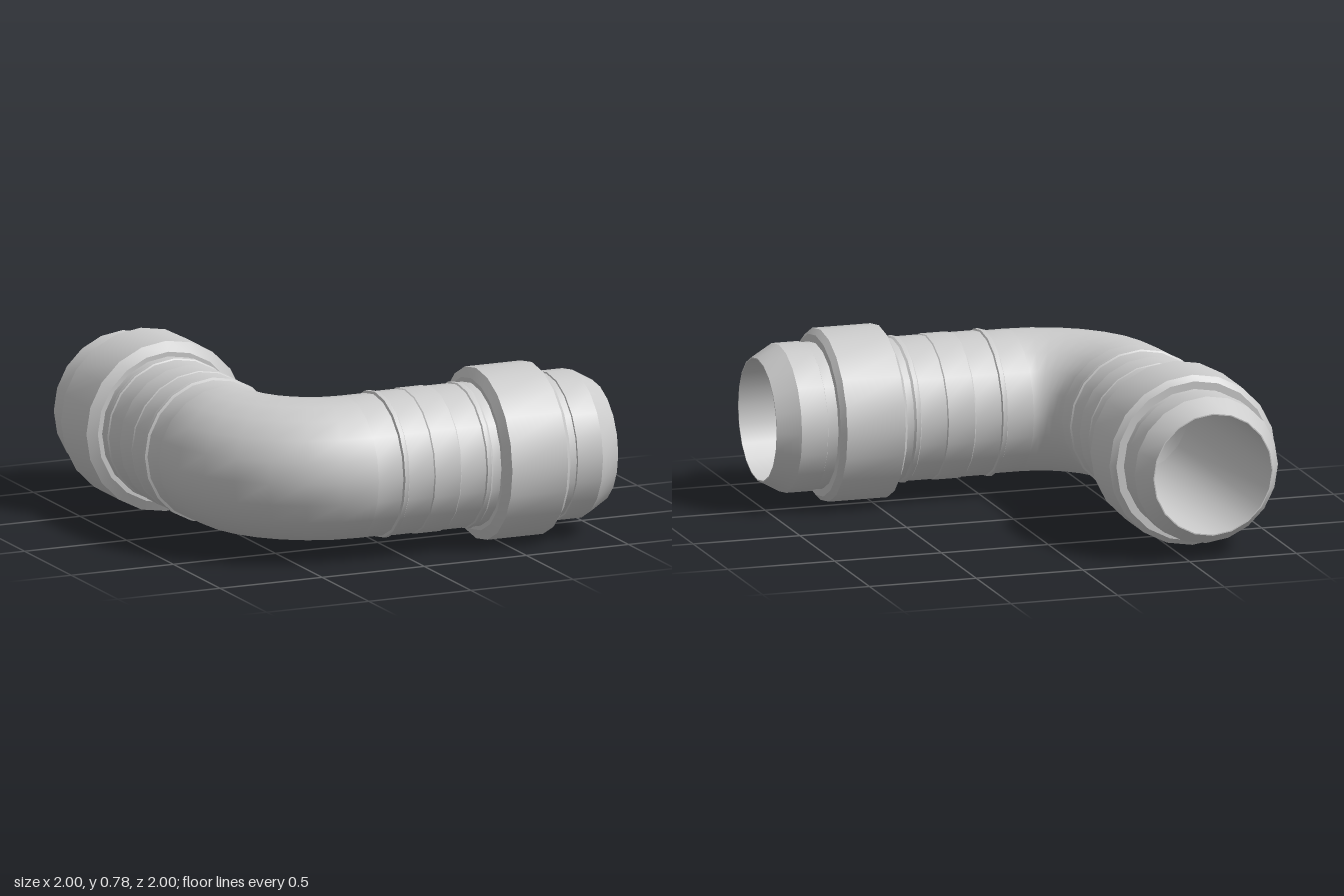
import * as THREE from 'three';
import { toCreasedNormals } from 'three/addons/utils/BufferGeometryUtils.js';

const SIDES = 20;
const AXIS_Y = 0.39;  // height of the pipe axis
const OFFSET = 0.61;  // distance of each arm's axis from the centre
const BEND_AT = -0.19; // where the bend meets the straight arms
const BEND_R = OFFSET + BEND_AT;
const PIPE_R = 0.32;
const BORE_R = 0.275;

// Each profile lists [radius, distance along the arm]
const PROFILES = {
  Sleeve: [
    [PIPE_R, BEND_AT], [PIPE_R, -0.07],
    [0.331, -0.065], [0.331, -0.045], [0.324, -0.04], // bead at the bend
    [0.324, 0.08], [0.328, 0.085], [0.328, 0.21], [0.324, 0.215], // raised band
    [0.324, 0.335], [0.33, 0.34], [0.33, 0.36], [0.324, 0.37], // bead at the collar
    [0.324, 0.42],
  ],
  Collar: [
    [0.322, 0.408], [0.345, 0.408], [0.39, 0.432],
    [0.39, 0.705], [0.365, 0.728], [0.325, 0.728],
  ],
  Tip: [
    [0.33, 0.72], [0.33, 0.775], [0.336, 0.778], [0.336, 0.9],
    [0.28, 1], [BORE_R, 1], [BORE_R, BEND_AT], // chamfered lip and bore
  ],
};

function turned(profile) {
  const points = profile.map(([r, s]) => new THREE.Vector2(r, s));
  return toCreasedNormals(new THREE.LatheGeometry(points, SIDES), 0.42);
}

// Quarter bend joining the two arms
function bend(radius) {
  return new THREE.TorusGeometry(BEND_R, radius, SIDES, 7, Math.PI / 2)
    .rotateZ(Math.PI / 2)
    .rotateX(Math.PI / 2)
    .translate(BEND_AT, AXIS_Y, -BEND_AT);
}

export function createModel() {
  const model = new THREE.Group();
  model.name = 'pipeElbow';
  const grey = new THREE.MeshStandardMaterial({ color: 0xcccccc });
  const thin = new THREE.MeshStandardMaterial({ color: 0xcccccc, side: THREE.DoubleSide });

  function add(parent, name, geometry, material) {
    const mesh = new THREE.Mesh(geometry, material);
    mesh.name = name;
    parent.add(mesh);
  }

  add(model, 'bendOuter', bend(PIPE_R), grey);
  add(model, 'bendBore', bend(BORE_R), thin);

  // Two identical arms, one towards +x and one towards -z
  for (const side of ['left', 'back']) {
    const arm = new THREE.Group();
    arm.name = side + 'Arm';
    for (const [part, profile] of Object.entries(PROFILES)) {
      add(arm, side + part, turned(profile), grey);
    }
    if (side === 'left') {
      arm.rotation.z = -Math.PI / 2;
      arm.position.set(0, AXIS_Y, OFFSET);
    } else {
      arm.rotation.x = -Math.PI / 2;
      arm.position.set(-OFFSET, AXIS_Y, 0);
    }
    model.add(arm);
  }
  return model;
}
